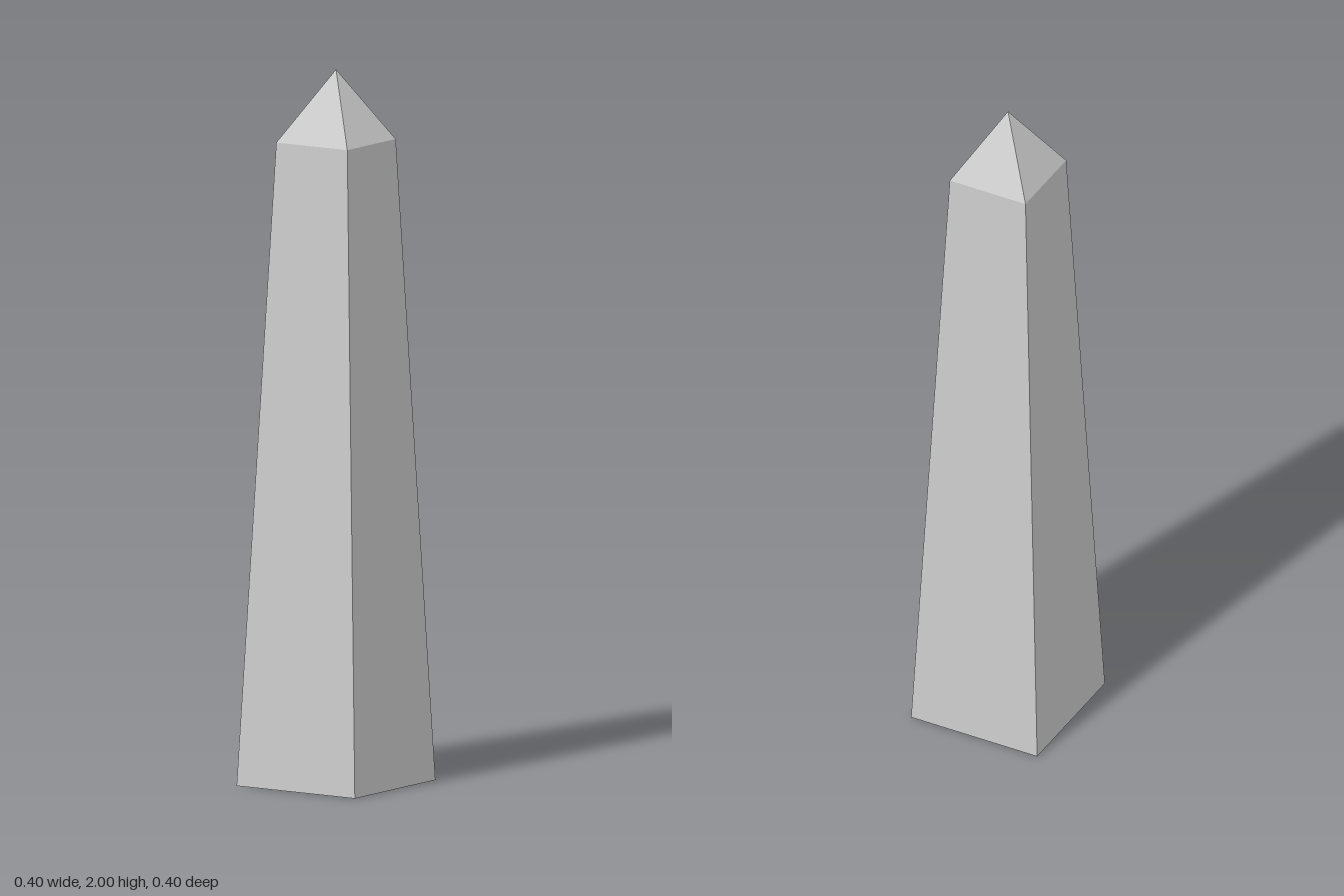
import * as THREE from 'three';

const BASE = 0.198, SHOULDER = 0.119; // half widths
const SHAFT_HEIGHT = 1.8, HEIGHT = 2;

// Square frustum with sides parallel to the x and z axes
function squareTaper(name, topHalf, bottomHalf, y0, y1, open, material) {
  const geometry = new THREE.CylinderGeometry(
    topHalf * Math.SQRT2, bottomHalf * Math.SQRT2, y1 - y0, 4, 1, open);
  geometry.rotateY(Math.PI / 4);
  geometry.translate(0, (y0 + y1) / 2, 0);
  const mesh = new THREE.Mesh(geometry, material);
  mesh.name = name;
  return mesh;
}

export function createModel() {
  const stone = new THREE.MeshStandardMaterial({ color: 0xcccccc, flatShading: true });
  const obelisk = new THREE.Group();
  obelisk.name = 'obelisk';

  // Tapered shaft, closed at the base
  obelisk.add(squareTaper('shaft', SHOULDER, BASE, 0, SHAFT_HEIGHT, false, stone));
  // Pyramid cap, open where it sits on the shaft
  obelisk.add(squareTaper('pyramidCap', 0, SHOULDER, SHAFT_HEIGHT, HEIGHT, true, stone));

  return obelisk;
}
